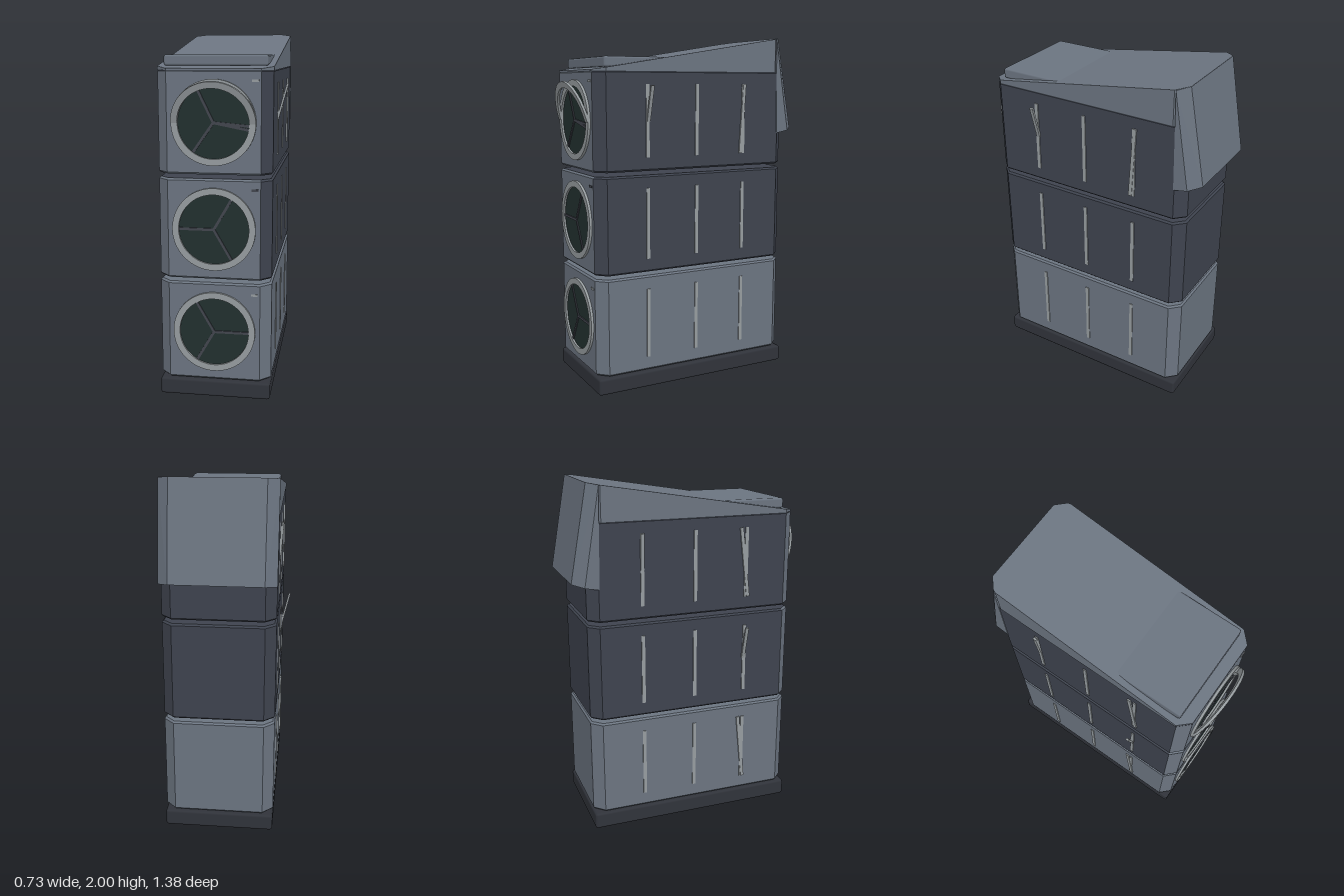
import * as THREE from 'three';
import { RoundedBoxGeometry } from 'three/addons/geometries/RoundedBoxGeometry.js';
import { ConvexGeometry } from 'three/addons/geometries/ConvexGeometry.js';

const material = (name, color) => new THREE.MeshStandardMaterial({ name, color });

export function createModel() {
  const light = material('lightCasing', 0x6b7480);
  const dark = material('darkCasing', 0x3e434e);
  const plinth = material('basePlinth', 0x30333a);
  const trim = material('trim', 0x969c9f);
  const glass = material('darkOpening', 0x22302f);
  const spokeMat = material('spokes', 0x42454e);

  const model = new THREE.Group();
  const W = 0.308, D = 0.612, C = 0.058;
  const add = (name, geo, mat, x = 0, y = 0, z = 0, parent = model) => {
    const mesh = new THREE.Mesh(geo, mat);
    mesh.name = name;
    mesh.position.set(x, y, z);
    parent.add(mesh);
    return mesh;
  };

  // Chamfered cabinet standing on y = 0
  const octagon = (w, d, c) => [
    [w - c, d], [w, d - c], [w, c - d], [w - c, -d],
    [c - w, -d], [-w, c - d], [-w, d - c], [c - w, d],
  ];
  const cabinetGeometry = (height) => {
    const shape = new THREE.Shape(octagon(W, D, C).map(([x, z]) => new THREE.Vector2(x, z)));
    const b = 0.01;
    const geo = new THREE.ExtrudeGeometry(shape, {
      depth: height - 2 * b, bevelThickness: b, bevelSize: b, bevelOffset: -b, bevelSegments: 1,
    });
    geo.rotateX(-Math.PI / 2).translate(0, b, 0);
    return geo;
  };

  // Front-facing triangles use material 0, all others material 1
  const splitFront = (geo) => {
    const normal = geo.attributes.normal;
    geo.clearGroups();
    for (let i = 0; i < normal.count; i += 3) {
      const front = normal.getZ(i) > 0.5 && normal.getX(i) < 0.3;
      geo.addGroup(i, 3, front ? 0 : 1);
    }
    return geo;
  };

  // Flat ring, or half ring, facing +z
  const ringGeometry = (end) => {
    const s = new THREE.Shape();
    s.absarc(0, 0, 0.225, 0, end, false);
    if (end < 6) s.absarc(0, 0, 0.19, end, 0, true);
    else s.holes.push(new THREE.Path().absarc(0, 0, 0.19, 0, end, true));
    return new THREE.ExtrudeGeometry(s, { depth: 0.014, bevelEnabled: false, curveSegments: 40 });
  };

  // Base and the small pin under the lowest cabinet
  add('base', new RoundedBoxGeometry(2 * W, 0.095, 2 * D + 0.006, 1, 0.014), plinth, 0, 0.0475, 0);
  add('basePin', new THREE.BoxGeometry(0.022, 0.02, 0.022), plinth, 0.025, 0.1, -0.035);

  const units = [
    { y: 0.105, h: 0.557, mid: 0.385, spokes: [0, 120, 240] },
    { y: 0.683, h: 0.55, mid: 0.96, spokes: [60, 180, 300] },
    { y: 1.255, h: 0.548, mid: 1.53, spokes: [116, 235, -5, -11] },
  ];

  units.forEach((u, i) => {
    const unit = new THREE.Group();
    unit.name = 'cabinetUnit' + (i + 1);
    model.add(unit);
    const geo = cabinetGeometry(u.h);
    add('cabinet', i ? splitFront(geo) : geo, i ? [light, dark] : light, 0, u.y, 0, unit);

    // Round front opening with ring and spokes
    add('opening', new THREE.CircleGeometry(0.195, 48), glass, 0, u.mid, D + 0.003, unit);
    add('openingRing', ringGeometry(Math.PI * 2), trim, 0, u.mid, D, unit);
    u.spokes.forEach((deg) => {
      const spoke = new THREE.BoxGeometry(0.19, 0.014, 0.008).translate(0.095, 0, 0);
      add('spoke', spoke, spokeMat, 0, u.mid, D + 0.005, unit).rotation.z = THREE.MathUtils.degToRad(deg);
    });
    add('frontTab', new THREE.BoxGeometry(0.036, 0.012, 0.008),
      i === 1 ? spokeMat : trim, 0.22, u.mid + 0.217, D, unit);

    // Vertical side slats
    for (const side of [-1, 1]) {
      for (const z of [-0.31, 0, 0.31]) {
        add('sideSlat', new THREE.BoxGeometry(0.016, 0.4, 0.02), trim, side * (W - 0.003), u.mid, z, unit);
      }
    }
  });

  // Bent slats: upper halves leaning outwards, or slats twisted in place
  const lean = (side, y, z, angle) => {
    const geo = new THREE.BoxGeometry(0.012, 0.2, 0.02).translate(0, 0.1, 0);
    add('bentSlat', geo, trim, side * W, y, z).rotation.z = -side * angle;
  };
  lean(1, 1.53, 0.305, 0.27);
  lean(-1, 0.96, 0.305, 0.24);
  lean(-1, 1.53, -0.31, 0.07);
  [[-1, 1.53, 0.3, 0.12], [-1, 0.385, 0.3, 0.1], [1, 1.53, -0.305, 0.06]].forEach(([side, y, z, a]) => {
    add('twistedSlat', new THREE.BoxGeometry(0.016, 0.4, 0.02), trim, side * W, y, z).rotation.x = -a;
  });

  // Upper half ring leaning forward
  add('leaningRing', ringGeometry(Math.PI), trim, 0, 1.53, D + 0.005).rotation.x = 0.27;

  // Sloped roof
  const roofPoints = [];
  octagon(W + 0.002, D, 0.06).forEach(([x, z]) => {
    const back = z < 0 ? 0.02 : 0;
    roofPoints.push(new THREE.Vector3(x, 1.797, z + back));
    roofPoints.push(new THREE.Vector3(x, 1.808 + (D - z - back) * 0.16, z + back));
  });
  add('roof', new ConvexGeometry(roofPoints), light);

  // Rear hood hanging from the roof
  const hoodPoints = [];
  for (const s of [-1, 1]) {
    [[0.311, 1.44, -0.55], [0.311, 1.99, -0.54], [0.311, 1.455, -0.63],
      [0.25, 1.468, -0.69], [0.25, 2, -0.593]].forEach(([x, y, z]) => {
      hoodPoints.push(new THREE.Vector3(s * x, y, z));
    });
  }
  add('rearHood', new ConvexGeometry(hoodPoints), light);

  // Level hatch at the front of the roof
  add('roofHatch', new RoundedBoxGeometry(0.555, 0.058, 0.5, 1, 0.012), light, 0, 1.849, 0.3);

  model.children.forEach((part) => { part.position.x -= 0.006; });
  return model;
}
